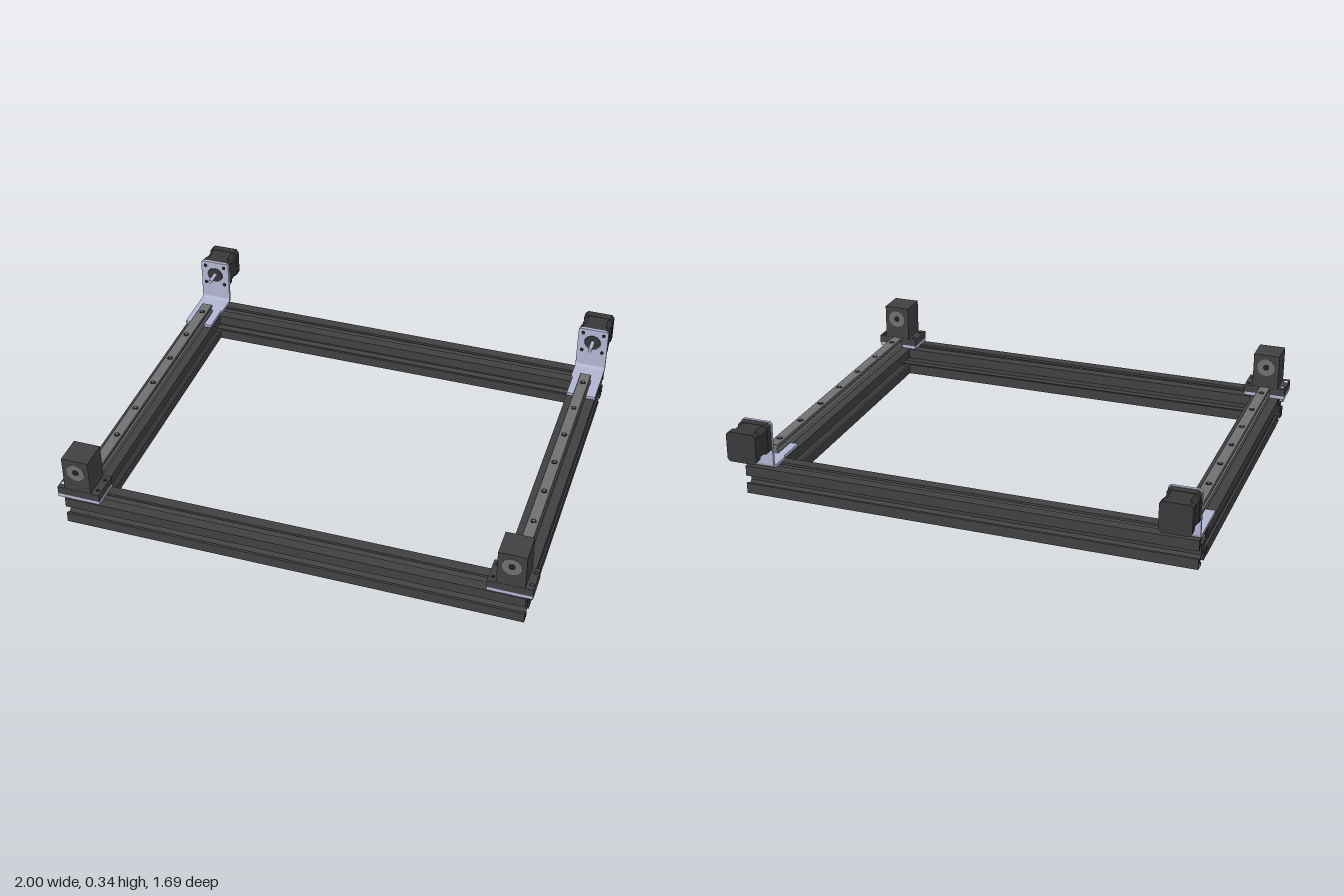
import * as THREE from 'three';

const mat = (name, color, side = THREE.FrontSide) => {
  const m = new THREE.MeshStandardMaterial({ color, side });
  m.name = name;
  return m;
};

export function createModel() {
  const root = new THREE.Group();
  const frameMat = mat('anodised black', 0x414141);
  const motorMat = mat('motor black', 0x383838);
  const railMat = mat('rail grey', 0x707070);
  const steelMat = mat('pale steel', 0xb2b6d2);
  const holeMat = mat('hole dark', 0x222222);

  const add = (parent, name, geo, material, x = 0, y = 0, z = 0) => {
    const m = new THREE.Mesh(geo, material);
    m.name = name;
    m.position.set(x, y, z);
    parent.add(m);
    return m;
  };
  const box = (w, h, d) => new THREE.BoxGeometry(w, h, d);
  const cyl = (r, h, axis, n = 24) => {
    const g = new THREE.CylinderGeometry(r, r, h, n);
    if (axis === 'z') g.rotateX(Math.PI / 2);
    if (axis === 'x') g.rotateZ(Math.PI / 2);
    return g;
  };
  const poly = (pts) => new THREE.Shape(pts.map(([x, y]) => new THREE.Vector2(x, y)));
  const circleHole = (shape, x, y, r) => {
    const p = new THREE.Path();
    p.absarc(x, y, r, 0, Math.PI * 2, true);
    shape.holes.push(p);
  };
  const extrude = (shape, depth) =>
    new THREE.ExtrudeGeometry(shape, { depth, bevelEnabled: false, curveSegments: 8 });
  // Horizontal plate: shape drawn in x and -z, thickness upwards
  const plate = (shape, h) => extrude(shape, h).rotateX(-Math.PI / 2);

  // T-slot section: one side repeated four times, hollow corners and a centre bore
  const S = 0.063;
  const sidePts = [[-1, 1], [-0.28, 1], [-0.28, 0.83], [-0.6, 0.83], [-0.6, 0.68], [-0.28, 0.36],
    [0.28, 0.36], [0.6, 0.68], [0.6, 0.83], [0.28, 0.83], [0.28, 1]];
  const outline = [];
  for (let k = 0; k < 4; k++) {
    for (const [x, y] of sidePts) {
      let p = [x, y];
      for (let i = 0; i < k; i++) p = [p[1], -p[0]];
      outline.push([p[0] * S, p[1] * S]);
    }
  }
  const section = poly(outline);
  circleHole(section, 0, 0, 0.2 * S);
  for (const sx of [-1, 1]) for (const sy of [-1, 1]) {
    const a = 0.7 * S, b = 0.89 * S;
    section.holes.push(new THREE.Path([[a, a], [b, a], [b, b], [a, b]]
      .map(([x, y]) => new THREE.Vector2(x * sx, y * sy))));
  }
  const beam = (len) => extrude(section, len).translate(0, 0, -len / 2);

  // Frame
  const crossBeam = beam(1.946).rotateY(Math.PI / 2);
  add(root, 'frontBeam', crossBeam, frameMat, 0, S, 0.782);
  add(root, 'rearBeam', crossBeam, frameMat, 0, S, -0.648);
  const sideBeam = beam(1.304);

  // Rail section with a groove down each flank
  const half = [[0.025, 0], [0.025, 0.02], [0.019, 0.026], [0.019, 0.034], [0.025, 0.04], [0.025, 0.047], [0.022, 0.05]];
  const railGeo = extrude(poly([...half, ...half.map(([x, y]) => [-x, y]).reverse()]), 1.304);

  // Motor slices: square with cut corners
  const slice = (s, c, d) => extrude(poly([[s, -s + c], [s, s - c], [s - c, s], [-s + c, s],
    [-s, s - c], [-s, -s + c], [-s + c, -s], [s - c, -s]]), d);

  for (const s of [1, -1]) {
    const side = new THREE.Group();
    side.name = s > 0 ? 'leftSide' : 'rightSide';
    root.add(side);
    const cx = s * 0.909;

    add(side, 'sideBeam', sideBeam, frameMat, s * 0.911, S, 0.067);

    // Linear rail and its screw holes
    add(side, 'rail', railGeo, railMat, cx, 0.13, -0.586);
    for (let i = 0; i < 7; i++) {
      const z = -0.52 + i * 0.195;
      add(side, 'railScrew', cyl(0.013, 0.002, 'y', 16), holeMat, cx, 0.1805, z);
      add(side, 'railScrewSocket', cyl(0.006, 0.002, 'y', 6), railMat, cx, 0.1815, z);
    }

    // Motor bracket: forked foot, bend and upright
    const bracket = new THREE.Group();
    bracket.name = 'motorBracket';
    side.add(bracket);
    const foot = poly([[0.976, 0.686], [0.976, 0.475], [0.935, 0.475], [0.935, 0.588], [0.883, 0.588],
      [0.883, 0.475], [0.849, 0.475], [0.849, 0.6], [0.841, 0.61], [0.841, 0.686]].map(([x, y]) => [x * s, y]));
    add(bracket, 'bracketFoot', plate(foot, 0.013), steelMat, 0, 0.13, 0);
    const bend = new THREE.Shape();
    bend.absarc(0, 0, 0.025, Math.PI, Math.PI * 1.5, false);
    bend.absarc(0, 0, 0.012, Math.PI * 1.5, Math.PI, true);
    // Section's first axis is turned onto +z
    add(bracket, 'bracketBend', extrude(bend, 0.135).rotateY(-Math.PI / 2), steelMat, s * 0.9085 + 0.0675, 0.155, -0.686);
    const upright = poly([[-0.0675, 0.155], [0.0675, 0.155], [0.0675, 0.335], [0.0595, 0.343], [-0.0595, 0.343], [-0.0675, 0.335]]);
    circleHole(upright, 0, 0.275, 0.037);
    add(bracket, 'bracketUpright', extrude(upright, 0.013), steelMat, s * 0.9085, 0, -0.711);

    // Motor with end caps, boss, shaft and mounting screws
    const motor = new THREE.Group();
    motor.name = 'motor';
    motor.position.set(cx, 0.275, 0);
    side.add(motor);
    add(motor, 'motorRearCap', slice(0.066, 0.012, 0.035), motorMat, 0, 0, -0.845);
    add(motor, 'motorBody', slice(0.064, 0.02, 0.068), motorMat, 0, 0, -0.81);
    add(motor, 'motorFrontCap', slice(0.066, 0.012, 0.031), motorMat, 0, 0, -0.742);
    add(motor, 'motorBoss', cyl(0.034, 0.012, 'z'), motorMat, 0, 0, -0.705);
    add(motor, 'motorShaft', cyl(0.009, 0.066, 'z', 16), steelMat, 0, 0, -0.668);
    add(motor, 'motorConnector', box(0.05, 0.025, 0.012), holeMat, 0, -0.056, -0.825);
    for (const a of [-1, 1]) for (const b of [-1, 1])
      add(motor, 'motorScrew', cyl(0.008, 0.006, 'z', 12), holeMat, a * 0.046, b * 0.046, -0.697);

    // Front bearing tower on a flange and a steel base plate
    const tower = new THREE.Group();
    tower.name = 'bearingTower';
    side.add(tower);
    const base = poly([[0.815, -0.845], [1, -0.845], [1, -0.72], [0.815, -0.72]].map(([x, y]) => [x * s, y]));
    for (const z of [0.745, 0.815]) circleHole(base, s * 0.987, -z, 0.009);
    add(tower, 'basePlate', plate(base, 0.015), steelMat, 0, 0.13, 0);
    add(tower, 'towerFlange', plate(base, 0.034), frameMat, 0, 0.145, 0);
    add(tower, 'towerBlock', box(0.116, 0.156, 0.123), frameMat, cx, 0.256, 0.7825);
    for (const z of [0.7205, 0.8445]) {
      add(tower, 'bearing', cyl(0.04, 0.002, 'z', 16), railMat, cx, 0.275, z);
      add(tower, 'bearingBore', cyl(0.014, 0.004, 'z', 16), holeMat, cx, 0.275, z);
    }
    for (const z of [0.745, 0.815])
      add(tower, 'flangeScrew', cyl(0.008, 0.003, 'y', 12), holeMat, s * 0.832, 0.18, z);
    add(tower, 'endBolt', cyl(0.019, 0.014, 'x', 20), steelMat, s * 0.979, 0.111, 0.784);
  }
  return root;
}
